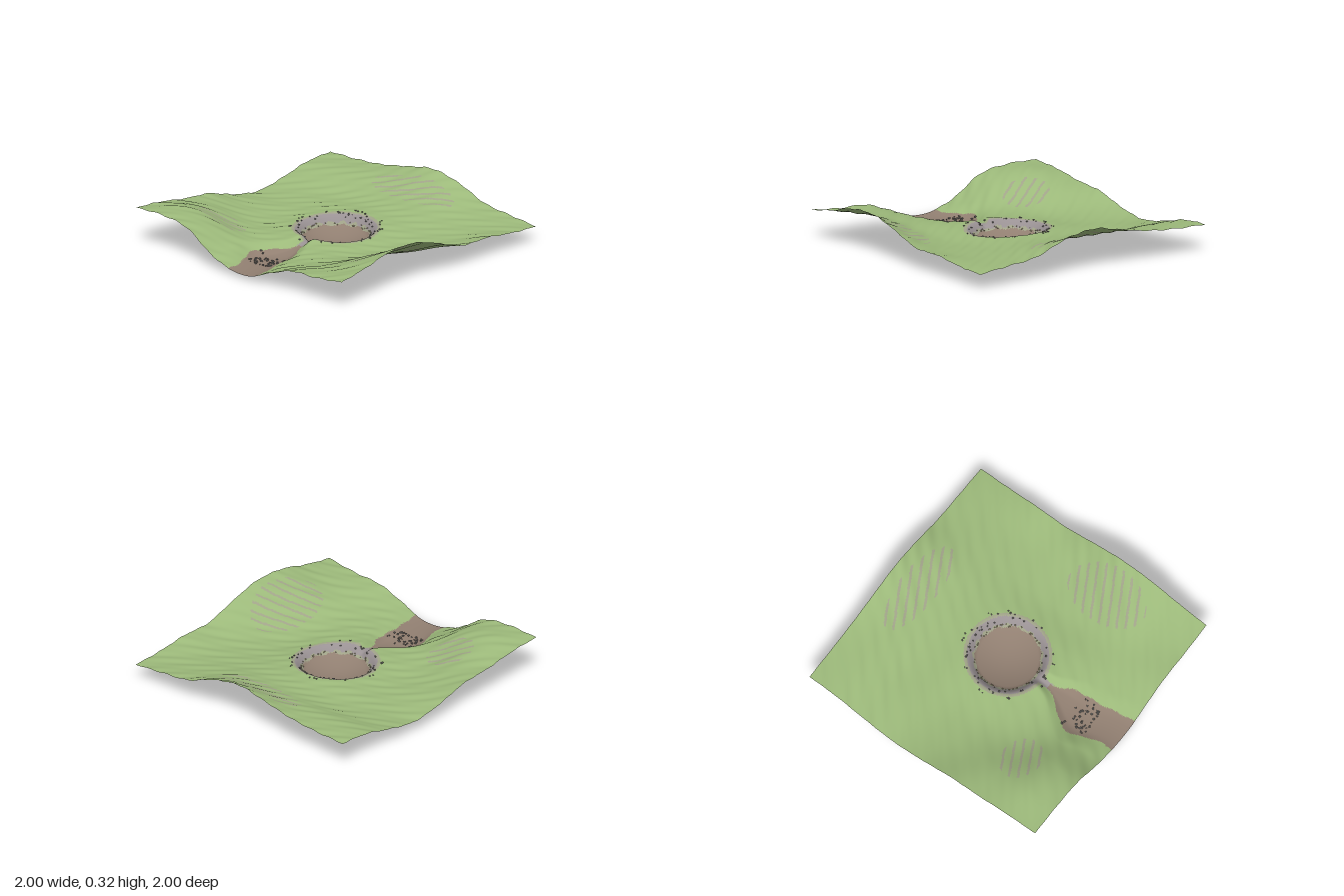
import * as THREE from 'three';

// Broad land heights: rows run z = -1..1, columns run x = -1..1, step 0.25
const LAND = [
  [0.195, 0.2, 0.22, 0.265, 0.305, 0.26, 0.17, 0.14, 0.115],
  [0.18, 0.185, 0.185, 0.185, 0.19, 0.185, 0.145, 0.125, 0.13],
  [0.125, 0.125, 0.118, 0.13, 0.143, 0.14, 0.12, 0.115, 0.16],
  [0.09, 0.1, 0.112, 0.13, 0.137, 0.125, 0.1, 0.11, 0.165],
  [0.13, 0.11, 0.1, 0.125, 0.13, 0.118, 0.085, 0.125, 0.245],
  [0.2, 0.14, 0.1, 0.115, 0.135, 0.11, 0.092, 0.175, 0.312],
  [0.225, 0.21, 0.14, 0.105, 0.09, 0.1, 0.118, 0.21, 0.308],
  [0.265, 0.285, 0.23, 0.11, 0.06, 0.09, 0.14, 0.19, 0.25],
  [0.285, 0.29, 0.25, 0.1, 0.04, 0.09, 0.17, 0.18, 0.205],
];
const { lerp, smoothstep, clamp } = THREE.MathUtils;

// Smooth interpolation through evenly spaced values
function spline(p, t) {
  const last = p.length - 2;
  const i = Math.min(last, Math.floor(t)), f = t - i;
  const b = p[i], c = p[i + 1];
  const a = i > 0 ? p[i - 1] : 2 * b - c;
  const d = i < last ? p[i + 2] : 2 * c - b;
  return 0.5 * (2 * b + (c - a) * f + (2 * a - 5 * b + 4 * c - d) * f * f + (3 * b - a - 3 * c + d) * f ** 3);
}
function land(x, z) {
  const u = clamp((x + 1) * 4, 0, 8), v = clamp((z + 1) * 4, 0, 8);
  return spline(LAND.map((row) => spline(row, u)), v);
}

// Small diagonal ripples in the turf
const ripple = (x, z) =>
  0.0024 * Math.sin(38 * x + 33 * z + 2 * Math.sin(3 * x)) + 0.0014 * Math.sin(58 * z + 40 * x);

// Stream bed: centre line and half width along z
const bedCentre = (z) => -0.04 * Math.exp(-(((z - 0.66) / 0.13) ** 2)) + 0.03 * smoothstep(z, 0.7, 1);
const bedHalf = (z) =>
  0.15 * smoothstep(z, 0.3, 0.66) - 0.02 * smoothstep(z, 0.7, 0.85) + 0.006 * Math.sin(z * 40);

function height(x, z) {
  const r = Math.hypot(x, z);
  let y = land(x, z) + ripple(x, z) * smoothstep(r, 0.25, 0.4);
  if (z > 0.15) {
    const s = smoothstep(z, 0.3, 0.7);
    const dx = Math.abs(x - bedCentre(z));
    const floor = lerp(0.08, 0.03, smoothstep(z, 0.28, 0.62)) + dx * dx * 0.9;
    y = lerp(floor, y, smoothstep(dx, lerp(0.0, 0.08, s), lerp(0.07, 0.26, s)));
  }
  // Round hollow
  return lerp(Math.min(r * r, 0.2), y, smoothstep(r, 0.22, 0.31));
}

// Steep banks where worn soil shows in thin stripes: centre x, z and radii
const BANKS = [
  [0.76, 0.3, 0.19, 0.32],
  [-0.58, 0.56, 0.18, 0.15],
  [0.0, -0.79, 0.38, 0.13],
];
const worn = (x, z) =>
  BANKS.some(([cx, cz, rx, rz]) => Math.hypot((x - cx) / rx, (z - cz) / rz) < 1) &&
  Math.sin(85 * (z + 0.55 * x)) > 0.65;

// Ground cover: 0 grass, 1 dry grass, 2 rock, 3 mud
function cover(x, z) {
  const r = Math.hypot(x, z), angle = Math.atan2(z, x);
  if (r < 0.234 + 0.005 * Math.sin(11 * angle)) return 3;
  if (r < 0.246 + 0.006 * Math.sin(17 * angle)) return 1;
  if (r < 0.292) return 2;
  const dx = Math.abs(x - bedCentre(z));
  if (z > 0.36 && dx < bedHalf(z)) return 3;
  if (z > 0.25 && z < 0.39 && dx < 0.024) return 2;
  return r < 0.314 || worn(x, z) ? 1 : 0;
}

function groundGeometry(n) {
  const positions = [], faces = [[], [], [], []];
  const at = (i) => -1 + (2 * i) / n;
  for (let j = 0; j <= n; j++)
    for (let i = 0; i <= n; i++) positions.push(at(i), height(at(i), at(j)), at(j));
  for (let j = 0; j < n; j++)
    for (let i = 0; i < n; i++) {
      const a = j * (n + 1) + i, b = a + 1, c = a + n + 1, d = c + 1;
      faces[cover(at(i + 0.33), at(j + 0.33))].push(a, c, b);
      faces[cover(at(i + 0.67), at(j + 0.67))].push(b, c, d);
    }
  const g = new THREE.BufferGeometry();
  g.setAttribute('position', new THREE.Float32BufferAttribute(positions, 3));
  g.setIndex(faces.flat());
  let start = 0;
  faces.forEach((f, k) => {
    g.addGroup(start, f.length, k);
    start += f.length;
  });
  g.computeVertexNormals();
  return g;
}

function seeded(seed) {
  return () => {
    seed = (seed * 16807) % 2147483647;
    return seed / 2147483647;
  };
}

export function createModel() {
  const material = (name, color, side = THREE.FrontSide) => {
    const m = new THREE.MeshStandardMaterial({ color, side });
    m.name = name;
    return m;
  };
  const both = THREE.DoubleSide;
  const covers = [
    material('grass', 0x9cb97a, both),
    material('dryGrass', 0xa0a388, both),
    material('rock', 0x9a9294, both),
    material('mud', 0x917f71, both),
  ];
  const stone = material('stone', 0x7d7b78);
  const sand = material('sand', 0xb0a684);
  const model = new THREE.Group();
  model.name = 'hollowLandscape';

  const ground = new THREE.Mesh(groundGeometry(200), covers);
  ground.name = 'ground';
  model.add(ground);

  const random = seeded(4217);
  const pebble = new THREE.IcosahedronGeometry(1, 0);
  const scatter = (name, count, mat, size, place) => {
    const group = new THREE.Group();
    group.name = name;
    for (let i = 0; i < count; i++) {
      const [x, z] = place();
      const s = size * (0.7 + 0.6 * random());
      const mesh = new THREE.Mesh(pebble, mat);
      mesh.name = 'pebble';
      mesh.position.set(x, height(x, z) + s * 0.6, z);
      mesh.scale.set(s, s * 0.75, s);
      mesh.rotation.y = random() * 6.28;
      group.add(mesh);
    }
    model.add(group);
  };
  const ring = (r0, r1) => () => {
    const a = random() * Math.PI * 2, r = lerp(r0, r1, random());
    return [r * Math.cos(a), r * Math.sin(a)];
  };
  // Stones around the rim, sandy grains at the mud line, stones in the stream bed
  scatter('rimStones', 60, stone, 0.0065, ring(0.26, 0.34));
  scatter('shoreGrains', 60, sand, 0.005, ring(0.232, 0.248));
  scatter('streamStones', 42, stone, 0.0075, () => [
    lerp(-0.16, 0.09, random()),
    lerp(0.6, 0.77, random()),
  ]);
  return model;
}
